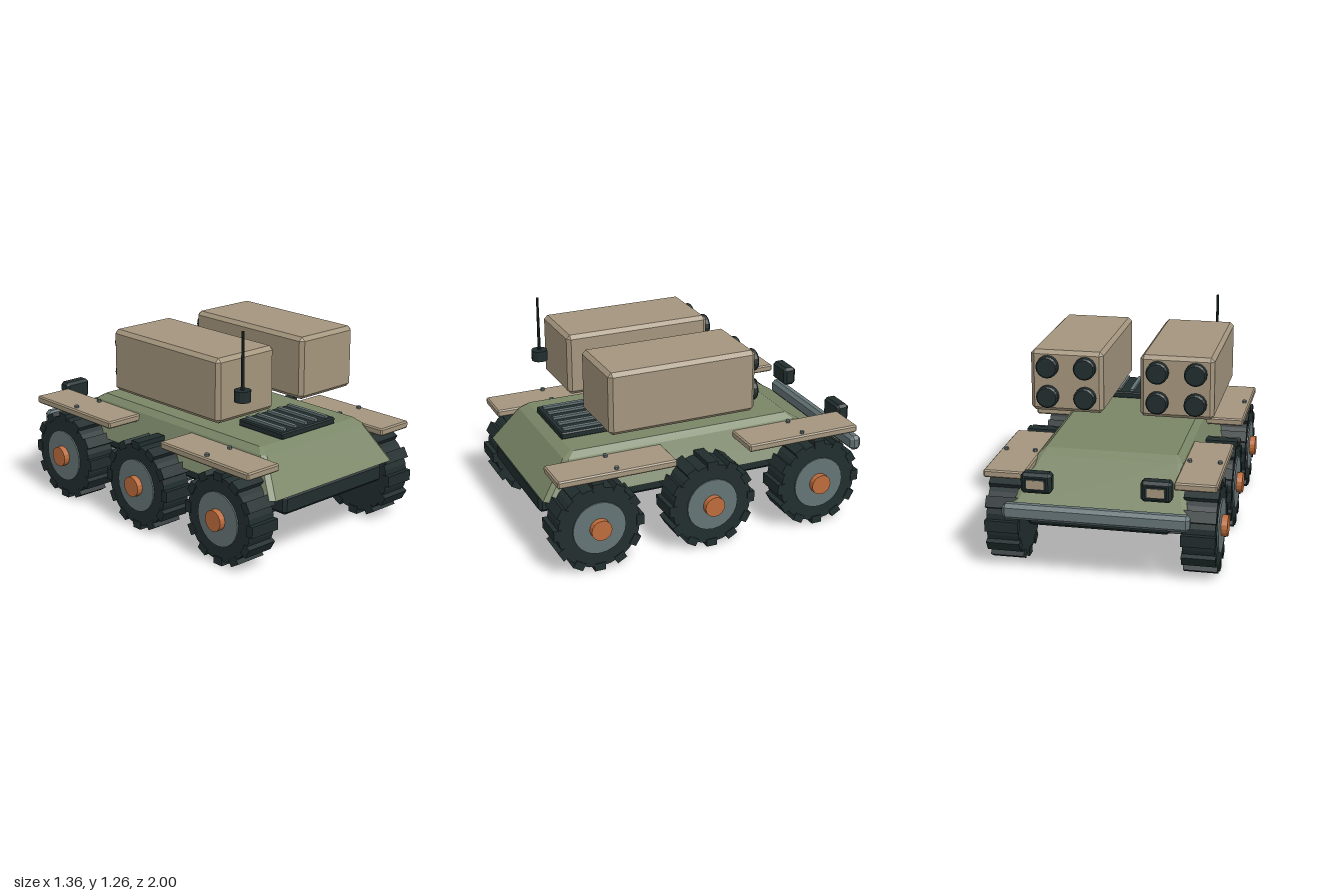
import * as THREE from 'three';
import { ConvexGeometry } from 'three/addons/geometries/ConvexGeometry.js';

const mat = (name, color) => {
  const m = new THREE.MeshStandardMaterial({ color, flatShading: true });
  m.name = name;
  return m;
};

export function createModel() {
  const green = mat('armourGreen', 0x7a8667);
  const tan = mat('sandPanel', 0xa4957d);
  const dark = mat('darkRubber', 0x212d2e);
  const steel = mat('steelGrey', 0x657476);
  const copper = mat('copperCap', 0xbd6c3c);

  const root = new THREE.Group();
  root.name = 'sixWheeledVehicle';

  const add = (parent, name, geometry, material, x = 0, y = 0, z = 0) => {
    const mesh = new THREE.Mesh(geometry, material);
    mesh.name = name;
    mesh.position.set(x, y, z);
    parent.add(mesh);
    return mesh;
  };

  // Box with flat chamfers along every edge
  const chamferBox = (w, h, d, b) => {
    const pts = [];
    for (const sx of [-1, 1]) for (const sy of [-1, 1]) for (const sz of [-1, 1]) {
      const x = w / 2, y = h / 2, z = d / 2;
      pts.push(new THREE.Vector3(sx * x, sy * (y - b), sz * (z - b)));
      pts.push(new THREE.Vector3(sx * (x - b), sy * y, sz * (z - b)));
      pts.push(new THREE.Vector3(sx * (x - b), sy * (y - b), sz * z));
    }
    return new ConvexGeometry(pts);
  };
  // Cylinders lying along x or z
  const cylX = (r, len, n) => new THREE.CylinderGeometry(r, r, len, n).rotateZ(Math.PI / 2);

  // Hull: three horizontal levels with clipped corners
  const hullPoints = [];
  for (const [y, hw, front, back, cut] of [
    [0.395, 0.489, 0.995, -0.9, 0.025],
    [0.595, 0.41, 0.845, -0.6, 0.025],
    [0.626, 0.375, 0.79, -0.55, 0.012],
  ]) for (const s of [-1, 1]) {
    hullPoints.push(new THREE.Vector3(s * hw, y, front - cut), new THREE.Vector3(s * (hw - cut), y, front));
    hullPoints.push(new THREE.Vector3(s * hw, y, back + cut), new THREE.Vector3(s * (hw - cut), y, back));
  }
  add(root, 'hull', new ConvexGeometry(hullPoints), green);
  add(root, 'chassis', chamferBox(0.79, 0.11, 1.895, 0.018), dark, 0, 0.345, 0.047);

  // Engine grille on the front deck
  const grille = new THREE.Group();
  grille.name = 'engineGrille';
  root.add(grille);
  add(grille, 'grilleBase', chamferBox(0.426, 0.04, 0.345, 0.007), dark, 0, 0.643, 0.617);
  for (let i = -2; i <= 2; i++) {
    add(grille, 'grilleBar', new THREE.BoxGeometry(0.025, 0.03, 0.295), steel, i * 0.083, 0.662, 0.617);
  }

  // Wheels: tyre, twelve lugs, hub disc and cap, built facing +x
  const wheelZ = [0.735, 0.05, -0.635];
  const lugs = 12;
  const makeWheel = () => {
    const wheel = new THREE.Group();
    add(wheel, 'tyre', cylX(0.242, 0.18, 24), dark);
    for (let i = 0; i < lugs; i++) {
      const a = (i / lugs) * Math.PI * 2;
      const lug = add(wheel, 'treadLug', new THREE.BoxGeometry(0.19, 0.045, 0.064), dark,
        0, Math.cos(a) * 0.2425, Math.sin(a) * 0.2425);
      lug.rotation.x = a;
    }
    add(wheel, 'hub', cylX(0.155, 0.04, 24), steel, 0.078);
    add(wheel, 'hubCap', cylX(0.06, 0.05, 16), copper, 0.108);
    return wheel;
  };
  for (const z of wheelZ) {
    for (const s of [-1, 1]) {
      const wheel = makeWheel();
      wheel.name = s > 0 ? 'leftWheel' : 'rightWheel';
      wheel.position.set(s * 0.547, 0.265, z);
      if (s < 0) wheel.rotation.y = Math.PI;
      root.add(wheel);
    }
    add(root, 'axle', chamferBox(0.96, 0.095, 0.095, 0.026), steel, 0, 0.249, z);
  }

  // Fender plates with a pair of bolts each
  for (const s of [-1, 1]) {
    for (const [z, boltZ] of [[0.618, 0.617], [-0.53, -0.53]]) {
      add(root, 'fender', chamferBox(0.235, 0.043, 0.7, 0.008), tan, s * 0.528, 0.566, z);
      for (const x of [0.443, 0.612]) {
        add(root, 'fenderBolt', new THREE.CylinderGeometry(0.013, 0.013, 0.02, 8), steel, s * x, 0.592, boltZ);
      }
    }
  }

  // Launcher pods with four tube covers at the back
  const coverProfile = [[0, 0], [0.065, 0], [0.065, 0.048], [0.056, 0.058], [0, 0.058]]
    .map(([r, h]) => new THREE.Vector2(r, h));
  for (const s of [-1, 1]) {
    const pod = new THREE.Group();
    pod.name = s > 0 ? 'leftPod' : 'rightPod';
    pod.position.set(s * 0.321, 0.926, 0.179);
    root.add(pod);
    add(pod, 'podBox', chamferBox(0.428, 0.364, 0.885, 0.022), tan);
    for (const x of [-0.11, 0.11]) for (const y of [-0.089, 0.089]) {
      add(pod, 'tubeCover', new THREE.LatheGeometry(coverProfile, 16).rotateX(-Math.PI / 2), dark, x, y, -0.428);
    }
  }

  // Antenna
  add(root, 'antennaBase', new THREE.CylinderGeometry(0.048, 0.048, 0.063, 12), dark, -0.42, 0.902, 0.69);
  add(root, 'antennaRod', new THREE.CylinderGeometry(0.007, 0.01, 0.33, 8), dark, -0.42, 1.093, 0.69);

  // Rear bumper and lamps
  add(root, 'rearBumper', chamferBox(1.03, 0.09, 0.07, 0.02), steel, 0, 0.397, -0.965);
  for (const s of [-1, 1]) {
    add(root, 'lampHousing', chamferBox(0.17, 0.115, 0.08, 0.016), dark, s * 0.328, 0.557, -0.923);
    add(root, 'lampRim', new THREE.BoxGeometry(0.115, 0.065, 0.009), dark, s * 0.328, 0.557, -0.966);
    add(root, 'lampLens', new THREE.BoxGeometry(0.095, 0.048, 0.006), tan, s * 0.328, 0.557, -0.971);
  }

  return root;
}
